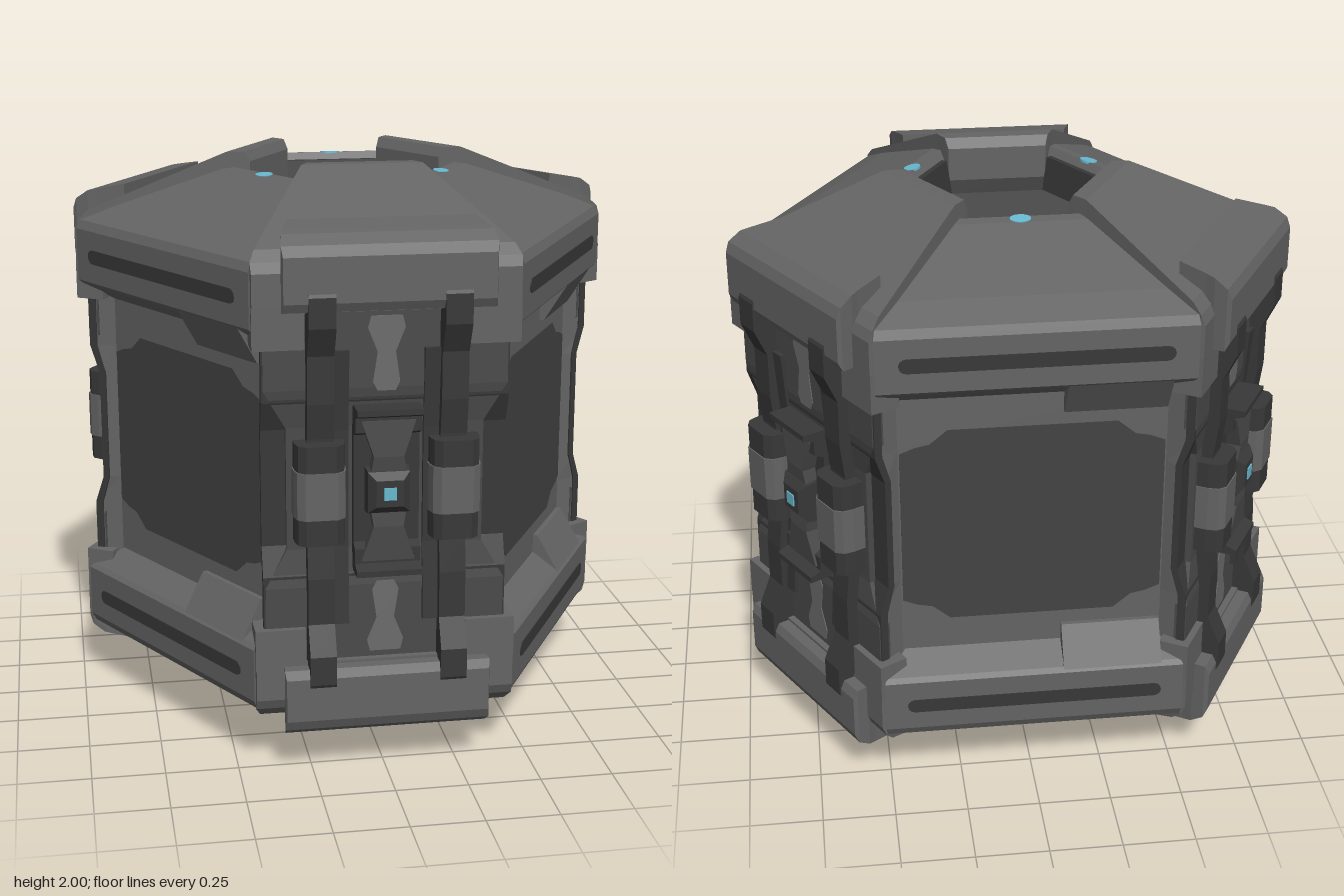
import * as THREE from 'three';

const mat = (name, color) => {
  const m = new THREE.MeshStandardMaterial({ color });
  m.name = name;
  return m;
};

// Joins rings of 3D points (counter-clockwise seen from the last ring) into a closed, flat-shaded solid
function loft(rings) {
  const p = [], n = rings[0].length;
  const tri = (a, b, c) => p.push(...a, ...b, ...c);
  for (let k = 0; k + 1 < rings.length; k++) {
    const a = rings[k], b = rings[k + 1];
    for (let i = 0; i < n; i++) {
      const j = (i + 1) % n;
      tri(a[i], a[j], b[j]);
      tri(a[i], b[j], b[i]);
    }
  }
  const lo = rings[0], hi = rings[rings.length - 1];
  for (let i = 1; i + 1 < n; i++) {
    tri(hi[0], hi[i], hi[i + 1]);
    tri(lo[0], lo[i + 1], lo[i]);
  }
  const g = new THREE.BufferGeometry();
  g.setAttribute('position', new THREE.Float32BufferAttribute(p, 3));
  g.computeVertexNormals();
  return g;
}

// Solid from slices [z, halfWidth, bottom, top], running outwards along z
const slices = (list, cx = 0) => loft(list.map(([z, w, b, t]) =>
  [[cx - w, b, z], [cx + w, b, z], [cx + w, t, z], [cx - w, t, z]]));

// Solid from levels [y, halfWidth, back, front], running upwards
const stack = list => loft(list.map(([y, w, b, f]) => [[-w, y, b], [-w, y, f], [w, y, f], [w, y, b]]));

// Side profile [z, y] swept from x0 to x1
function prism(profile, x0, x1) {
  const shape = new THREE.Shape(profile.map(([z, y]) => new THREE.Vector2(y, z)));
  const g = new THREE.ExtrudeGeometry(shape, { depth: x1 - x0, bevelEnabled: false });
  // shape axes (y, z) and depth x
  return g.applyMatrix4(new THREE.Matrix4().set(0, 0, 1, x0, 1, 0, 0, 0, 0, 1, 0, 0, 0, 0, 0, 1));
}

// Thin painted plate from an outline [x, y]
function plate(points, z) {
  const g = new THREE.ExtrudeGeometry(new THREE.Shape(points.map(q => new THREE.Vector2(...q))),
    { depth: 0.005, bevelEnabled: false });
  return g.translate(0, 0, z);
}

// Copy mirrored top to bottom, with the corner order put right
function flip(src) {
  const g = src.index ? src.toNonIndexed() : src.clone();
  g.scale(1, -1, 1);
  const p = g.attributes.position;
  for (let i = 0; i < p.count; i += 3) {
    const b = [p.getX(i + 1), p.getY(i + 1), p.getZ(i + 1)];
    p.setXYZ(i + 1, p.getX(i + 2), p.getY(i + 2), p.getZ(i + 2));
    p.setXYZ(i + 2, ...b);
  }
  g.computeVertexNormals();
  return g;
}

// Levels [y, ...] given for the upper half, continued downwards
const bothWays = list => [...list.map(([y, ...r]) => [-y, ...r]).reverse(), ...list];

export function createModel() {
  const shell = mat('shellGrey', 0x646464);
  const dark = mat('bodyGrey', 0x4a4a4a);
  const panel = mat('panelGrey', 0x434343);
  const strapMat = mat('strapCharcoal', 0x383838);
  const pale = mat('paleGrey', 0x6c6c6c);
  const blue = mat('lightBlue', 0x68b8d0);

  const model = new THREE.Group();
  model.name = 'hexCrate';
  const crate = new THREE.Group();
  crate.name = 'crate';
  crate.position.set(0, 1, -0.055);
  model.add(crate);

  const add = (parent, name, geo, material) => {
    const m = new THREE.Mesh(geo, material);
    m.name = name;
    parent.add(m);
  };
  const pair = (parent, name, geo, material) => {
    add(parent, name + 'Top', geo, material);
    add(parent, name + 'Bottom', flip(geo), material);
  };
  const sector = (name, turn) => {
    const g = new THREE.Group();
    g.name = name;
    g.rotation.y = turn;
    crate.add(g);
    return g;
  };

  // Core: twelve-sided, with the panel sides set back
  const ring = (y, a, dA, b, dB) => {
    const pts = [];
    for (let k = 0; k < 6; k++) {
      const t = k * Math.PI / 3, [w, d] = k % 2 ? [b, dB] : [a, dA];
      for (const x of [-w, w])
        pts.push([x * Math.cos(t) + d * Math.sin(t), y, -x * Math.sin(t) + d * Math.cos(t)]);
    }
    return pts;
  };
  const levels = bothWays([[0.2, 0.41, 0.8, 0.445, 0.71], [0.3, 0.41, 0.835, 0.445, 0.71],
    [0.49, 0.41, 0.835, 0.445, 0.71], [0.61, 0.41, 0.835, 0.4, 0.68], [0.79, 0.22, 0.45, 0.22, 0.45]]);
  add(crate, 'core', loft(levels.map(l => ring(...l))), shell);

  // Floors of the end recesses
  pair(crate, 'recessFloor', new THREE.CylinderGeometry(0.38, 0.38, 0.02, 6).rotateY(Math.PI / 6)
    .translate(0, 0.79, 0), dark);
  const liner = prism([[0.283, 0.78], [0.34, 0.78], [0.34, 0.92], [0.308, 0.92]].reverse(), -0.17, 0.17);

  for (let k = 0; k < 3; k++) {
    const turn = k * Math.PI * 2 / 3;

    // ---- strap side ----
    const A = sector('strapSide', turn);
    pair(A, 'strapSideCap', slices([[0.295, 0.175, 0.72, 0.965], [0.315, 0.185, 0.72, 1],
      [0.37, 0.21, 0.7, 1], [0.815, 0.425, 0.6, 0.8], [0.85, 0.442, 0.6, 0.765], [0.865, 0.44, 0.6, 0.73]]), shell);
    for (const s of [-1, 1])
      pair(A, 'capFoot', slices([[0.76, 0.085, 0.48, 0.62], [0.865, 0.085, 0.48, 0.62]], s * 0.357), shell);
    pair(A, 'capGuard', slices([[0.73, 0.31, 0.7, 0.88], [0.83, 0.335, 0.61, 0.862], [0.86, 0.345, 0.61, 0.855],
      [0.905, 0.35, 0.61, 0.825], [0.92, 0.345, 0.64, 0.79]]), shell);
    pair(A, 'recessWall', liner, strapMat);
    add(A, 'strapBacking', stack(bothWays([[0.2, 0.411, 0.78, 0.803], [0.3, 0.411, 0.81, 0.838],
      [0.6, 0.411, 0.81, 0.838]])), strapMat);
    add(A, 'strapPanel', stack(bothWays([[0.21, 0.33, 0.78, 0.825], [0.34, 0.405, 0.8, 0.842],
      [0.6, 0.405, 0.8, 0.842]])), dark);
    pair(A, 'paintMark', plate([[-0.03, 0.33], [0.03, 0.33], [0.045, 0.36], [0.03, 0.46], [0.062, 0.54],
      [0.052, 0.58], [-0.052, 0.58], [-0.062, 0.54], [-0.03, 0.46], [-0.045, 0.36]], 0.84), pale);

    // straps with their rails and clamps
    const front = [[0.915, 0.68], [0.926, 0.66], [0.926, 0.56], [0.88, 0.46], [0.88, 0.3], [0.865, 0.18]];
    const strap = [...front, ...front.map(([z, y]) => [z, -y]).reverse(), [0.78, -0.68], [0.78, 0.68]].reverse();
    for (const s of [-1, 1]) {
      const span = (a, b) => s > 0 ? [a, b] : [-b, -a];
      add(A, 'strap', prism(strap, ...span(0.177, 0.266)), strapMat);
      add(A, 'strapRail', prism([[0.78, -0.47], [0.86, -0.47], [0.84, -0.2], [0.84, 0.2],
        [0.86, 0.47], [0.78, 0.47]].reverse(), ...span(0.125, 0.18)), strapMat);
      // faceted clamp and its paler middle band
      const clamp = (h, o) => slices([[0.77, 0.083], [0.865, 0.083], [0.9, 0.075], [0.92, 0.05]]
        .map(([z, w]) => [z + o, w + o, -h, h]), s * 0.225);
      add(A, 'clamp', clamp(0.17, 0), strapMat);
      add(A, 'clampBand', clamp(0.08, 0.004), shell);
    }

    // latch
    add(A, 'latchBase', slices([[0.78, 0.11, -0.28, 0.28], [0.85, 0.11, -0.28, 0.28]]), strapMat);
    pair(A, 'latchHook', prism([[0.84, 0.18], [0.84, 0.285], [0.925, 0.285], [0.925, 0.265],
      [0.885, 0.25], [0.885, 0.2]], -0.11, 0.11), strapMat);
    pair(A, 'latchArm', stack([[0.06, 0.06, 0.83, 0.895], [0.12, 0.05, 0.83, 0.9],
      [0.24, 0.09, 0.83, 0.892]]), dark);
    add(A, 'latchButton', slices([[0.83, 0.075, -0.08, 0.08], [0.9, 0.07, -0.07, 0.07],
      [0.922, 0.045, -0.045, 0.045]]), strapMat);
    add(A, 'latchLight', slices([[0.92, 0.021, -0.021, 0.021], [0.927, 0.021, -0.021, 0.021]]), blue);

    // ---- panel side ----
    const B = sector('panelSide', turn + Math.PI / 3);
    pair(B, 'panelSideCap', slices([[0.32, 0.19, 0.72, 0.91], [0.345, 0.2, 0.72, 0.945],
      [0.385, 0.22, 0.7, 0.94], [0.7, 0.43, 0.47, 0.815], [0.8, 0.51, 0.535, 0.765], [0.815, 0.515, 0.55, 0.735]]), shell);
    pair(B, 'capStep', prism([[0.65, 0.41], [0.65, 0.55], [0.812, 0.55], [0.727, 0.41]], 0.1, 0.44), shell);
    pair(B, 'recessWall', liner, strapMat);
    const groove = [];
    for (const s of [1, -1])
      for (let i = 0; i <= 6; i++) {
        const t = -Math.PI / 2 + i * Math.PI / 6;
        groove.push([s * (0.415 + 0.025 * Math.cos(t)), 0.644 + s * 0.025 * Math.sin(t)]);
      }
    pair(B, 'capGroove', plate(groove, 0.813), strapMat);
    const lamp = new THREE.CylinderGeometry(0.036, 0.036, 0.008, 16);
    lamp.scale(1, 1, 0.75).rotateX(0.125).translate(0, 0.941, 0.362);
    pair(B, 'capLight', lamp, blue);

    // inset panel
    const corner = [[0.44, 0.28], [0.39, 0.3], [0.34, 0.31], [0.28, 0.36]];
    const top = [...corner, ...corner.map(([x, y]) => [-x, y]).reverse()];
    add(B, 'sidePanel', plate([...top, ...top.map(([x, y]) => [-x, -y])], 0.708), panel);
  }
  return model;
}
